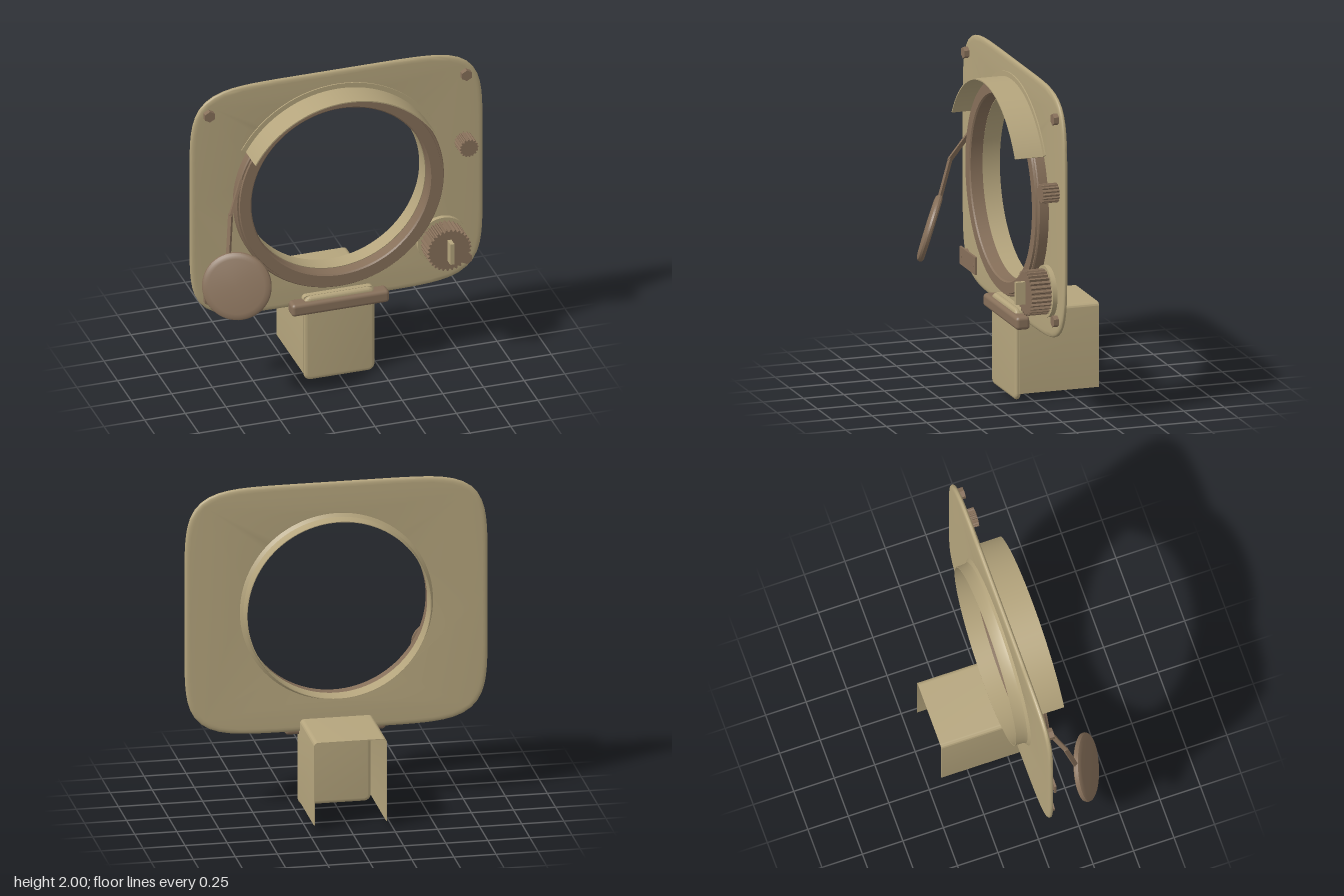
import * as THREE from 'three';
import { toCreasedNormals } from 'three/addons/utils/BufferGeometryUtils.js';
import { RoundedBoxGeometry } from 'three/addons/geometries/RoundedBoxGeometry.js';

const CY = 1.236; // height of the round opening's centre

export function createModel() {
  const tan = new THREE.MeshStandardMaterial({ color: 0xb5a57d });
  tan.name = 'tan paint';
  const brown = new THREE.MeshStandardMaterial({ color: 0x87705a });
  brown.name = 'brown paint';

  const model = new THREE.Group();
  model.name = 'portholeFrame';

  function add(name, geometry, material, x = 0, y = 0, z = 0) {
    const mesh = new THREE.Mesh(geometry, material);
    mesh.name = name;
    mesh.position.set(x, y, z);
    model.add(mesh);
    return mesh;
  }
  const smooth = (g, angle = 0.6) => toCreasedNormals(g, angle);
  const v2 = (pairs) => pairs.map(([x, y]) => new THREE.Vector2(x, y));
  const extrude = (shape, depth, curveSegments = 48) =>
    new THREE.ExtrudeGeometry(shape, { depth, bevelEnabled: false, curveSegments });
  // Lathe turned so that its axis runs along z
  const latheZ = (pairs, segments = 96) =>
    smooth(new THREE.LatheGeometry(v2(pairs), segments).rotateX(Math.PI / 2));

  // Face plate: superellipse outline with a soft rim and a round opening
  const bevel = 0.03;
  const outline = [];
  for (let i = 0; i < 128; i++) {
    const t = (i / 128) * Math.PI * 2, c = Math.cos(t), s = Math.sin(t);
    const k = Math.pow(Math.pow(Math.abs(c), 6.6) + Math.pow(Math.abs(s), 6.6), -1 / 6.6);
    outline.push(new THREE.Vector2(c * k * (0.9 - bevel), s * k * (0.763 - bevel)));
  }
  const plate = new THREE.Shape(outline);
  plate.holes.push(new THREE.Path().absarc(0, 0, 0.549 + bevel, 0, Math.PI * 2, true));
  add('facePlate', smooth(new THREE.ExtrudeGeometry(plate, {
    depth: 0.006, bevelSize: bevel, bevelThickness: 0.012, bevelSegments: 4, curveSegments: 48,
  })), tan, 0, 1.237, 0.027);

  // Collar behind the plate
  add('rearCollar', latheZ([
    [0.544, 0.04], [0.544, -0.067], [0.548, -0.067], [0.549, -0.02],
    [0.555, 0], [0.575, 0.016], [0.575, 0.03], [0.544, 0.04],
  ].reverse().map(([r, z]) => [r, z]).reverse()), tan, 0, CY, 0);

  // Front ring around the opening
  add('frontRing', latheZ([
    [0.548, 0.035], [0.64, 0.035], [0.64, 0.1], [0.634, 0.108], [0.624, 0.108],
    [0.62, 0.12], [0.556, 0.12], [0.548, 0.112], [0.548, 0.035],
  ]), brown, 0, CY, 0);

  // Hood over the upper third of the ring, with its mounting flange
  function sector(r0, r1, depth) {
    const s = new THREE.Shape();
    s.absarc(0, 0, r1, Math.PI / 6, Math.PI * 5 / 6, false);
    s.absarc(0, 0, r0, Math.PI * 5 / 6, Math.PI / 6, true);
    return smooth(extrude(s, depth));
  }
  add('hood', sector(0.641, 0.648, 0.185), tan, 0, CY, 0.04);
  add('hoodFlange', sector(0.641, 0.678, 0.012), tan, 0, CY, 0.04);

  // Hexagonal corner screws
  for (const x of [-0.79, 0.79]) {
    for (const y of [0.625, 1.845]) {
      const hex = new THREE.CylinderGeometry(0.035, 0.035, 0.035, 6).rotateX(Math.PI / 2);
      add('cornerScrew', smooth(hex, 0.3), brown, x, y, 0.059);
    }
  }

  // Fluted knobs
  function fluted(r0, r1, teeth, depth) {
    const pts = [];
    for (let i = 0; i < teeth * 4; i++) {
      const a = (i / (teeth * 4)) * Math.PI * 2, r = i % 4 < 2 ? r1 : r0;
      pts.push(new THREE.Vector2(Math.cos(a) * r, Math.sin(a) * r));
    }
    return extrude(new THREE.Shape(pts), depth);
  }
  add('smallKnob', fluted(0.05, 0.058, 16, 0.107), brown, 0.78, 1.4, 0.04);
  add('dialBase', smooth(new THREE.CylinderGeometry(0.153, 0.153, 0.03, 48).rotateX(Math.PI / 2)),
    tan, 0.642, 0.77, 0.058);
  add('dialKnob', fluted(0.122, 0.135, 30, 0.135), brown, 0.642, 0.77, 0.06);
  add('dialGrip', new THREE.BoxGeometry(0.025, 0.135, 0.07), tan, 0.642, 0.772, 0.217);

  // Small rectangular plate with two rivets
  add('tagPlate', new THREE.BoxGeometry(0.275, 0.106, 0.013), brown, -0.578, 0.648, 0.117);
  for (const x of [-0.685, -0.47]) {
    add('tagRivet', new THREE.CylinderGeometry(0.009, 0.009, 0.008, 12).rotateX(Math.PI / 2),
      brown, x, 0.648, 0.122);
  }

  // Round mirror, tilted outward and up
  const mirror = add('mirror', latheZ([
    [0, -0.022], [0.185, -0.02], [0.2, -0.012], [0.204, 0], [0.2, 0.012],
    [0.188, 0.021], [0.165, 0.025], [0, 0.028],
  ], 64), brown, -0.703, 0.828, 0.31);
  mirror.quaternion.setFromUnitVectors(new THREE.Vector3(0, 0, 1),
    new THREE.Vector3(-0.42, 0.33, 1).normalize());

  // Bent arm from the ring to the mirror
  const bend = [[-0.61, 1.405, 0.1], [-0.7, 1.235, 0.185], [-0.732, 0.99, 0.24]]
    .map((p) => new THREE.Vector3(...p));
  for (let i = 0; i < 2; i++) {
    const d = bend[i + 1].clone().sub(bend[i]);
    const mid = bend[i].clone().addScaledVector(d, 0.5);
    const arm = add('mirrorArm', new THREE.BoxGeometry(0.026, d.length() + 0.012, 0.016),
      brown, mid.x, mid.y, mid.z);
    arm.quaternion.setFromUnitVectors(new THREE.Vector3(0, 1, 0), d.normalize());
  }

  // Clamp bar below the opening
  add('clampBar', new RoundedBoxGeometry(0.6, 0.08, 0.088, 4, 0.022), brown, 0, 0.486, 0.082);

  // Stand: top and two sides, open behind and below
  const w = 0.217, h = 0.55, t = 0.005, r = 0.025;
  const shell = new THREE.Shape();
  shell.moveTo(w, 0.04);
  shell.lineTo(w, h - r);
  shell.absarc(w - r, h - r, r, 0, Math.PI / 2, false);
  shell.absarc(r - w, h - r, r, Math.PI / 2, Math.PI, false);
  shell.lineTo(-w, 0.04);
  shell.lineTo(t - w, 0.04);
  shell.absarc(r - w, h - r, r - t, Math.PI, Math.PI / 2, true);
  shell.absarc(w - r, h - r, r - t, Math.PI / 2, 0, true);
  shell.lineTo(w - t, 0.04);
  add('standShell', smooth(extrude(shell, 0.49, 8)), tan, 0, 0, -0.414);

  // Stand front: rounded panel with soft edges
  const b = 0.022, c = 0.02, px = w - b, top = h - b;
  const panel = new THREE.Shape();
  panel.absarc(px - c, b + c, c, -Math.PI / 2, 0, false);
  panel.absarc(px - c, top - c, c, 0, Math.PI / 2, false);
  panel.absarc(c - px, top - c, c, Math.PI / 2, Math.PI, false);
  panel.absarc(c - px, b + c, c, Math.PI, Math.PI * 1.5, false);
  add('standFront', smooth(new THREE.ExtrudeGeometry(panel, {
    depth: 0.004, bevelSize: b, bevelThickness: 0.016, bevelSegments: 5, curveSegments: 8,
  })), tan, 0, 0, 0.082);

  return model;
}
